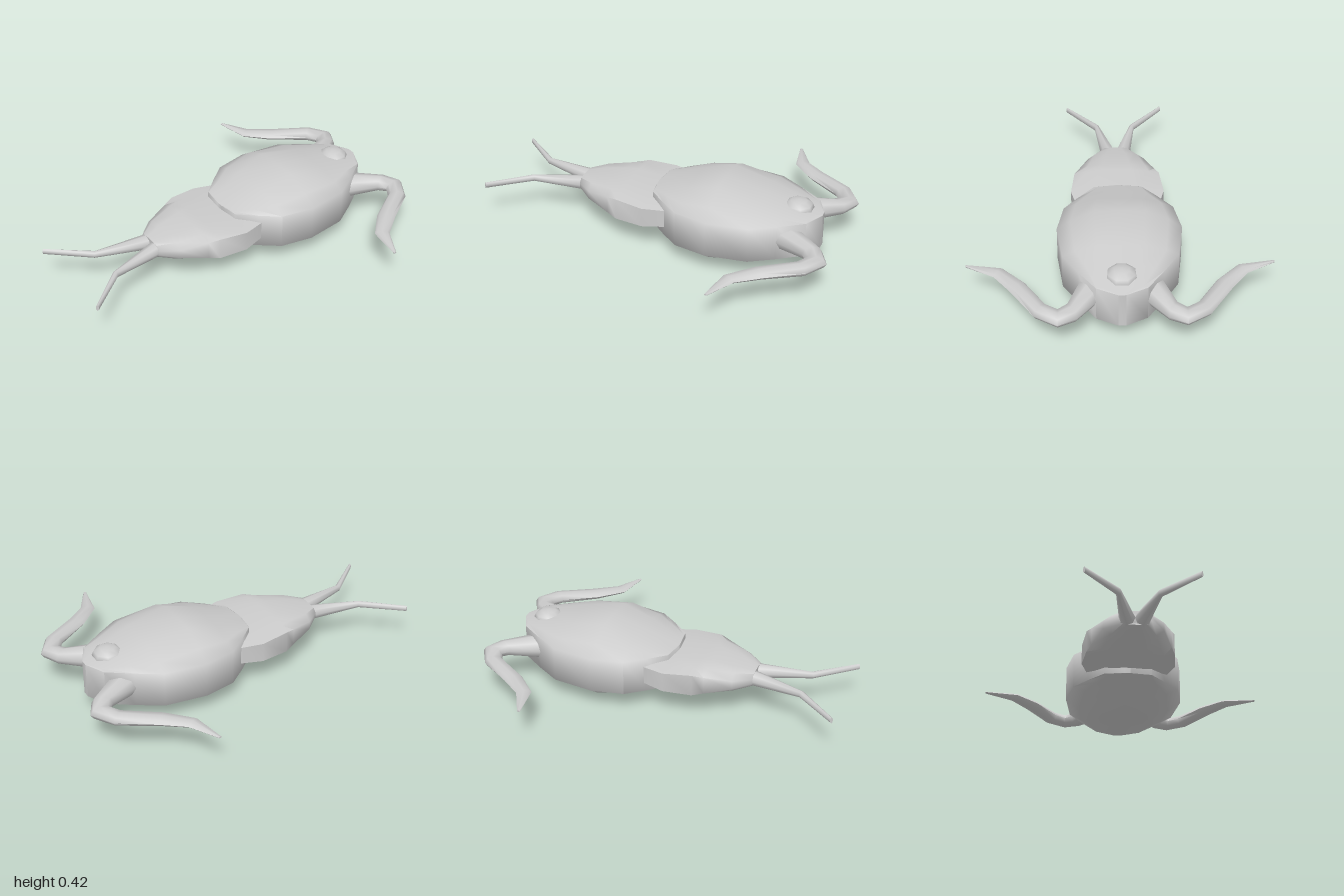
import * as THREE from 'three';
import { toCreasedNormals } from 'three/addons/utils/BufferGeometryUtils.js';

const material = new THREE.MeshStandardMaterial({ color: 0xcccccc });

// Skin a list of equal-length closed rings and cap both ends
function loft(name, rings, crease = 1.2) {
  const n = rings[0].length, pos = [], index = [];
  rings.forEach(r => r.forEach(p => pos.push(...p)));
  for (let i = 0; i < rings.length - 1; i++) {
    for (let j = 0; j < n; j++) {
      const a = i * n + j, b = i * n + (j + 1) % n;
      index.push(a, b, b + n, a, b + n, a + n);
    }
  }
  const last = (rings.length - 1) * n;
  for (let j = 1; j < n - 1; j++) {
    index.push(0, j + 1, j, last, last + j, last + j + 1);
  }
  const geo = new THREE.BufferGeometry();
  geo.setAttribute('position', new THREE.Float32BufferAttribute(pos, 3));
  geo.setIndex(index);
  const mesh = new THREE.Mesh(toCreasedNormals(geo, crease), material);
  mesh.name = name;
  return mesh;
}

// Limb from rows of [outer x, outer z, inner x, inner z, half height]
function limb(name, rows, y, side) {
  const rings = rows.map(([ox, oz, ix, iz, h]) => {
    const ring = [];
    for (let k = 0; k < 8; k++) {
      const a = k * Math.PI / 4, c = Math.cos(a) * side / 2;
      ring.push([
        side * ((ox + ix) / 2 + (ox - ix) * c),
        y + h * Math.sin(a),
        (oz + iz) / 2 + (oz - iz) * c,
      ]);
    }
    return ring;
  });
  return loft(name, rings);
}

export function createModel() {
  const model = new THREE.Group();

  // Shell: upright side wall, roof and belly sloping from a cross ridge
  const outline = [
    [-0.885, 0.02], [-0.83, 0.13], [-0.7, 0.22], [-0.57, 0.3], [-0.34, 0.33],
    [-0.16, 0.295], [-0.06, 0.215], [0.035, 0.13], [0.05, 0.02],
  ];
  model.add(loft('shell', outline.map(([z, w]) => {
    const t = z < -0.34 ? (z + 0.885) / 0.545 : (0.05 - z) / 0.39;
    const half = [[1, 0], [0.78, 0.48], [0.4, 1], [0, 1]];
    const top = half.map(([x, k]) => [x * w, 0.313 + 0.112 * k * t, z]);
    const left = half.slice(0, 3).reverse().map(([x, k]) => [-x * w, 0.313 + 0.112 * k * t, z]);
    const upper = [...top, ...left];
    const lower = upper.map(([x, y]) => [-x, 0.428 - y, z]);
    return [...upper, ...lower];
  })));

  // Abdomen tapering to the tail legs: [z, half width, bottom, top]
  const sections = [
    [-0.07, 0.225, 0.15, 0.283], [0.05, 0.257, 0.147, 0.285], [0.21, 0.238, 0.14, 0.303],
    [0.27, 0.215, 0.14, 0.303], [0.41, 0.16, 0.165, 0.283], [0.5, 0.085, 0.185, 0.265],
  ];
  model.add(loft('abdomen', sections.map(([z, w, b, t], i) => {
    const m = (b + t) / 2, h = (t - b) / 2;
    const s = [0.75, 0.8, 0.75, 0.6, 0.4, 0.3][i];
    return [[1, -s], [1, s], [0.75, 0.9], [0.35, 1], [-0.35, 1], [-0.75, 0.9],
      [-1, s], [-1, -s], [-0.75, -0.9], [-0.35, -1], [0.35, -1], [0.75, -0.9]]
      .map(([x, y]) => [x * w, m + y * h, z]);
  })));

  // Bent front arms and forked tail legs, mirrored
  const arm = [
    [0.08, -0.77, 0.17, -0.62, 0.07], [0.13, -0.83, 0.22, -0.69, 0.062],
    [0.225, -0.95, 0.28, -0.855, 0.042], [0.32, -1, 0.32, -0.885, 0.034],
    [0.44, -0.925, 0.375, -0.85, 0.033], [0.56, -0.74, 0.49, -0.67, 0.024],
    [0.65, -0.62, 0.61, -0.55, 0.016], [0.8, -0.535, 0.8, -0.518, 0.005],
  ];
  const leg = [
    [0.1, 0.43, 0, 0.43, 0.045], [0.085, 0.5, 0, 0.51, 0.04],
    [0.118, 0.77, 0.092, 0.79, 0.02], [0.29, 0.985, 0.28, 0.998, 0.017],
  ];
  for (const side of [1, -1]) {
    const label = side > 0 ? 'left' : 'right';
    model.add(limb(label + 'Arm', arm, 0.222, side));
    model.add(limb(label + 'TailLeg', leg, 0.223, side));
  }

  // Low octagonal dome on top of the head
  const eye = new THREE.Mesh(new THREE.SphereGeometry(0.085, 8, 6), material);
  eye.name = 'eye';
  eye.scale.y = 0.6;
  eye.rotation.y = Math.PI / 8;
  eye.position.set(0, 0.323, -0.748);
  model.add(eye);

  return model;
}
